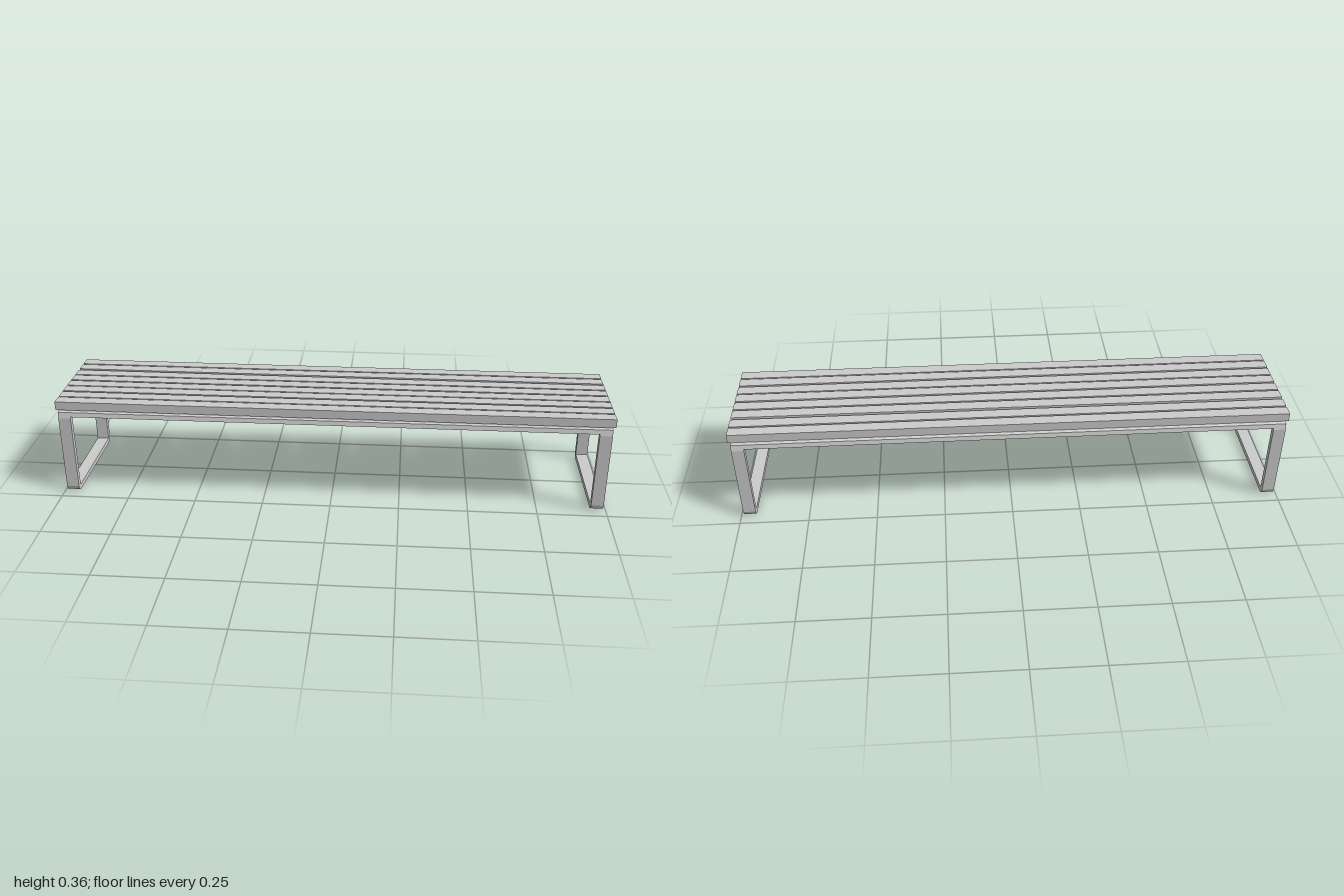
import * as THREE from 'three';

const material = new THREE.MeshStandardMaterial({ color: 0xcccccc, flatShading: true });

// Extrudes a (z, y) outline along x, from x0 to x1
function extrudeAlongX(points, x0, x1, hole) {
  const toVectors = (list) => list.map(([z, y]) => new THREE.Vector2(-z, y));
  const shape = new THREE.Shape(toVectors(points));
  if (hole) shape.holes.push(new THREE.Path(toVectors(hole)));
  const geometry = new THREE.ExtrudeGeometry(shape, { depth: x1 - x0, bevelEnabled: false });
  geometry.rotateY(Math.PI / 2);
  geometry.translate(x0, 0, 0);
  return geometry;
}

function addMesh(group, name, geometry) {
  const mesh = new THREE.Mesh(geometry, material);
  mesh.name = name;
  group.add(mesh);
  return mesh;
}

export function createModel() {
  const bench = new THREE.Group();
  bench.name = 'slattedBench';

  // Seat slats, slightly unevenly spaced
  const slatCentres = [0.181, 0.1315, 0.0795, 0.03, -0.0215, -0.072, -0.1275, -0.178];
  const slatGeometry = new THREE.BoxGeometry(2, 0.032, 0.0435);
  slatCentres.forEach((z, i) => {
    addMesh(bench, `slat${i + 1}`, slatGeometry).position.set(0, 0.347, z);
  });

  // Closed leg loops with two-step chamfered corners
  const outer = [
    [0.213, 0.303], [0.207, 0.324], [0.192, 0.331],
    [-0.192, 0.331], [-0.207, 0.324], [-0.213, 0.303],
    [-0.213, 0.022], [-0.207, 0.007], [-0.192, 0],
    [0.192, 0], [0.207, 0.007], [0.213, 0.022],
  ];
  const inner = [[0.192, 0.308], [0.192, 0.019], [-0.192, 0.019], [-0.192, 0.308]];
  addMesh(bench, 'leftLegFrame', extrudeAlongX(outer, 0.945, 0.99, inner));
  addMesh(bench, 'rightLegFrame', extrudeAlongX(outer, -0.99, -0.945, inner));

  // Long rails continuing the upper corners between the leg loops
  for (const [name, side] of [['frontRail', 1], ['backRail', -1]]) {
    const profile = [[0.192, 0.308], [0.2115, 0.308], [0.207, 0.324], [0.192, 0.331]];
    addMesh(bench, name, extrudeAlongX(profile.map(([z, y]) => [z * side, y]), -0.945, 0.945));
  }

  return bench;
}
